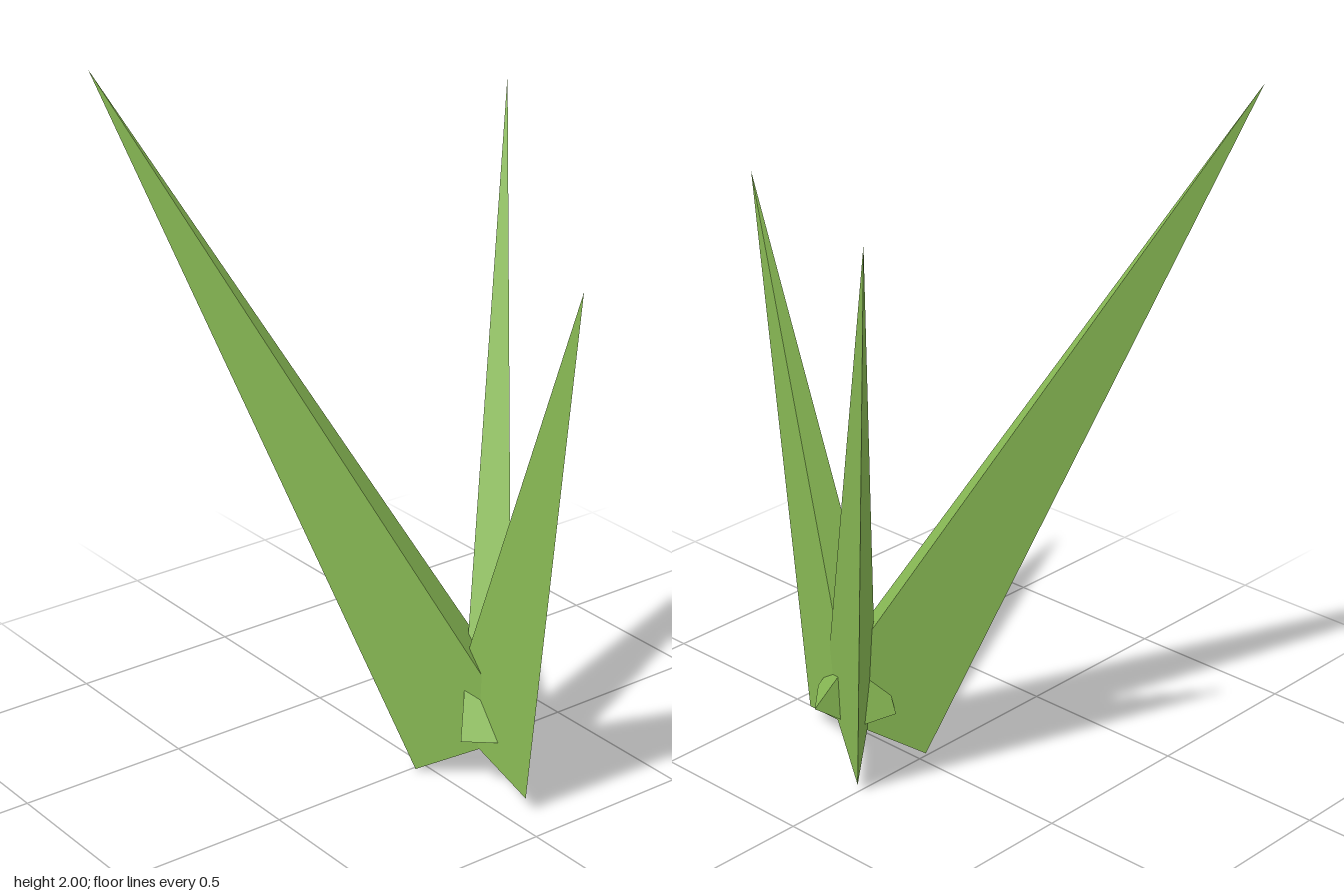
import * as THREE from 'three';

const RADIUS = 0.238;   // base reach of every blade
const FLATTEN = 0.34;   // blades are thin across their width
const ROOT = new THREE.Vector3(0.163, 0.122, -0.103);

// A flattened three-sided spike from the shared root to its tip
function makeBlade(name, tip, material) {
  const axis = new THREE.Vector3(...tip).sub(ROOT);
  const length = axis.length();
  const geometry = new THREE.ConeGeometry(RADIUS, length, 3, 1).toNonIndexed();
  geometry.translate(0, length / 2, 0);
  geometry.scale(FLATTEN, 1, 1);
  geometry.computeVertexNormals();

  const blade = new THREE.Mesh(geometry, material);
  blade.name = name;
  // Lean outward, then turn towards the tip; the sharp keel stays underneath
  blade.rotation.order = 'YXZ';
  blade.rotation.y = Math.atan2(axis.x, axis.z);
  blade.rotation.x = Math.acos(axis.y / length);
  blade.position.copy(ROOT);
  return blade;
}

export function createModel() {
  const group = new THREE.Group();
  group.name = 'grassTuft';
  const green = new THREE.MeshStandardMaterial({ color: 0x8bbd56 });
  green.name = 'leafGreen';

  const tips = {
    frontBlade: [-0.64, 2.0, 0.61],
    backBlade: [-0.4, 1.825, -0.61],
    leftBlade: [0.637, 1.615, -0.006],
  };
  for (const [name, tip] of Object.entries(tips)) group.add(makeBlade(name, tip, green));
  return group;
}
